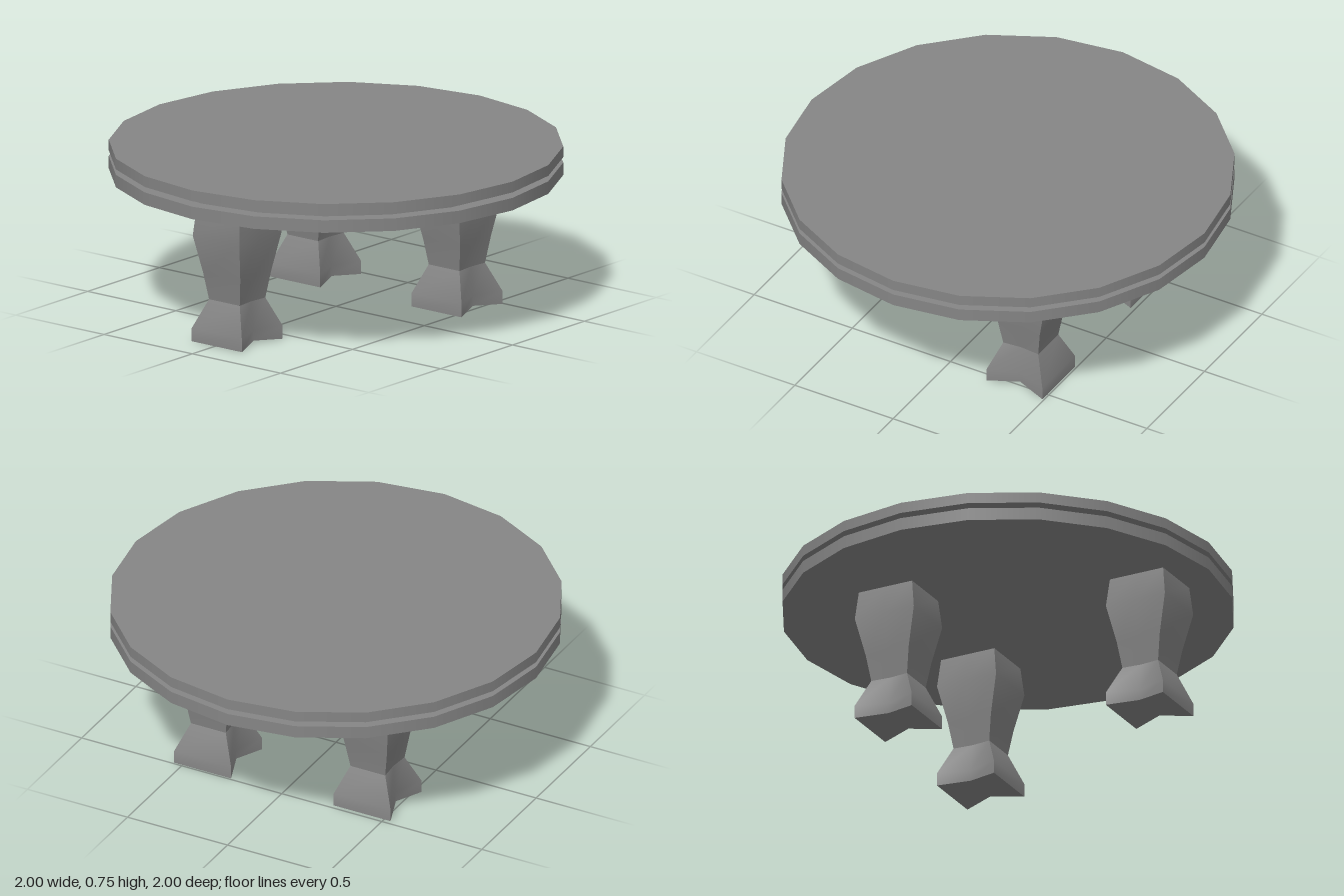
import * as THREE from 'three';
import { toCreasedNormals } from 'three/addons/utils/BufferGeometryUtils.js';

const SIDES = 20;

// Levels: height, half width in x, half depth in z, depth of the hollow in front and back, rise of the hollow's middle
const NECK = [0.19, 0.089, 0.087, 0.008, 0];
const FOOT = [[0, 0.142, 0.142, 0.05, 0.013], [0.06, 0.142, 0.142, 0.05, 0], NECK];
const SHAFT = [NECK, [0.31, 0.107, 0.105, 0.006, 0], [0.485, 0.147, 0.132, 0, 0], [0.62, 0.132, 0.121, 0, 0]];

// Ring of six points: front side left to right, then back side right to left
function ring([y, hx, hz, hollow, rise]) {
  return [
    [-hx, y, hz], [0, y + rise, hz - hollow], [hx, y, hz],
    [hx, y, -hz], [0, y + rise, hollow - hz], [-hx, y, -hz],
  ].flat();
}

// Closed solid through the rings of the given levels
function loft(levels) {
  const n = 6;
  const index = [];
  for (let r = 0; r < levels.length - 1; r++) {
    for (let k = 0; k < n; k++) {
      const a = r * n + k;
      const b = r * n + ((k + 1) % n);
      index.push(a, b, b + n, a, b + n, a + n);
    }
  }
  // Bottom and top, as strips from the front side to the back side
  const top = (levels.length - 1) * n;
  for (let a = 0; a < 2; a++) {
    const b = a + 1, c = 4 - a, d = 5 - a;
    index.push(a, d, c, a, c, b);
    index.push(top + a, top + b, top + c, top + a, top + c, top + d);
  }
  const geometry = new THREE.BufferGeometry();
  geometry.setAttribute('position', new THREE.Float32BufferAttribute(levels.flatMap(ring), 3));
  geometry.setIndex(index);
  return toCreasedNormals(geometry, 0.75);
}

export function createModel() {
  const table = new THREE.Group();
  table.name = 'roundTable';
  const material = new THREE.MeshStandardMaterial({ color: 0x858585 });

  const addMesh = (parent, name, geometry) => {
    const mesh = new THREE.Mesh(geometry, material);
    mesh.name = name;
    parent.add(mesh);
    return mesh;
  };

  // Two slabs with a recessed band between them
  const addDisc = (name, radius, y0, y1) => {
    const geometry = new THREE.CylinderGeometry(radius, radius, y1 - y0, SIDES);
    addMesh(table, name, geometry).position.y = (y0 + y1) / 2;
  };
  addDisc('lowerSlab', 1, 0.614, 0.671);
  addDisc('recessedBand', 0.934, 0.671, 0.696);
  addDisc('upperSlab', 1, 0.696, 0.745);

  // Three legs, each a flared foot below a swelling shaft
  const foot = loft(FOOT);
  const shaft = loft(SHAFT);
  const places = { frontLeg: [0.35, 0.4], backLeg: [0.337, -0.39], sideLeg: [-0.7, 0.01] };
  for (const [name, [x, z]] of Object.entries(places)) {
    const leg = new THREE.Group();
    leg.name = name;
    leg.position.set(x, 0, z);
    addMesh(leg, 'foot', foot);
    addMesh(leg, 'shaft', shaft);
    table.add(leg);
  }
  return table;
}
